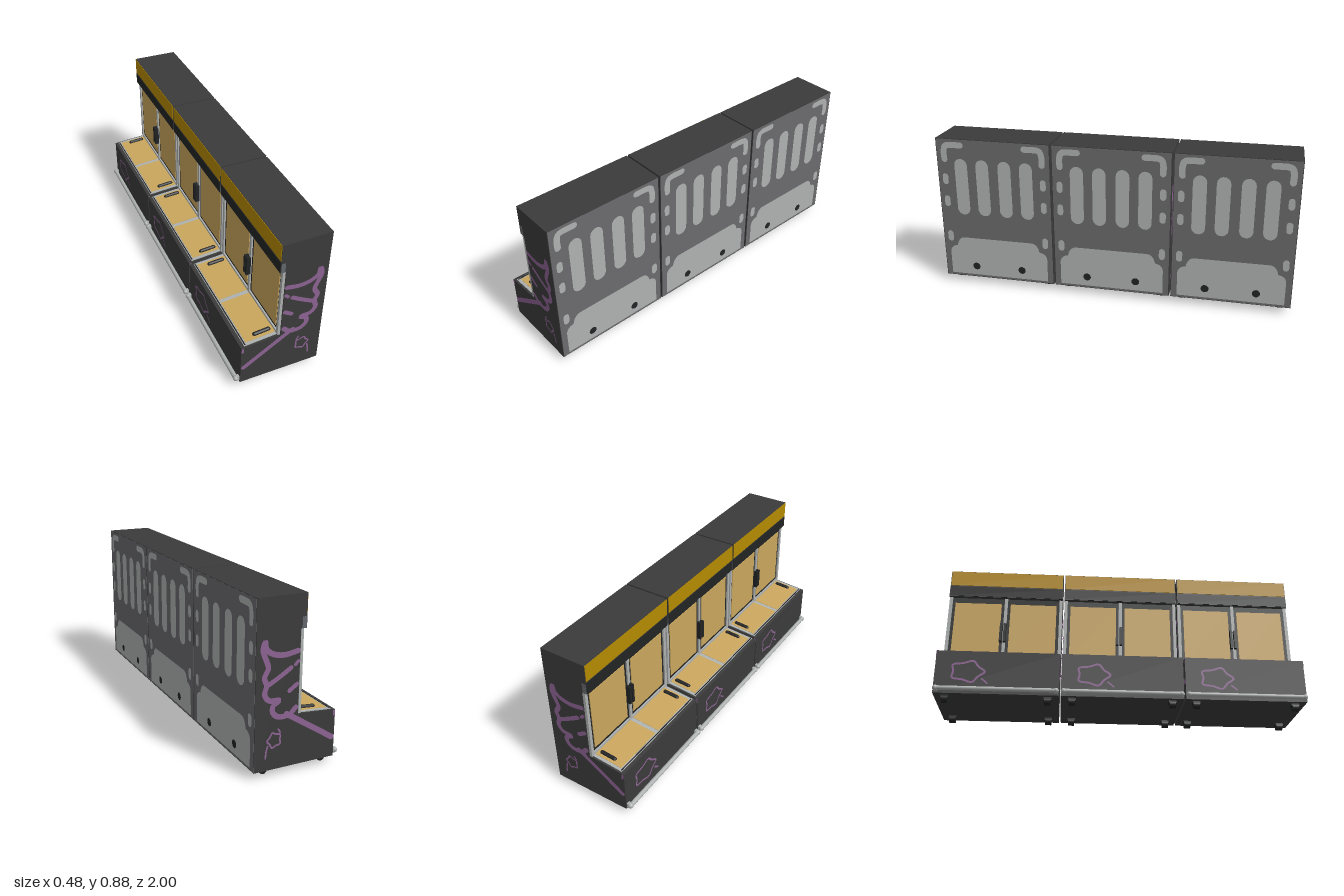
import * as THREE from 'three';
import { mergeGeometries } from 'three/addons/utils/BufferGeometryUtils.js';

const mat = (name, color, side = THREE.FrontSide) => {
  const m = new THREE.MeshStandardMaterial({ color, side });
  m.name = name;
  return m;
};
const W = 0.66, H = W / 2; // length of one cabinet along z

export function createModel() {
  const dark = mat('charcoal', 0x3b3b3b);
  const black = mat('black', 0x222324);
  const grey = mat('back grey', 0x6b6b6d);
  const light = mat('light metal', 0xaeb2b1);
  const tan = mat('amber glass', 0xcba75e);
  const sign = mat('sign yellow', 0xb58a00);
  const purple = mat('purple paint', 0x8d6393, THREE.DoubleSide);
  const steel = mat('blue grey', 0x63676b);

  const add = (parent, name, geo, material, x = 0, y = 0, z = 0) => {
    const m = new THREE.Mesh(geo, material);
    m.name = name;
    m.position.set(x, y, z);
    parent.add(m);
    return m;
  };
  const box = (p, name, material, sx, sy, sz, x, y, z) =>
    add(p, name, new THREE.BoxGeometry(sx, sy, sz), material, x, y, z);
  const group = (p, name) => {
    const g = new THREE.Group();
    g.name = name;
    p.add(g);
    return g;
  };

  // Flat painted stroke along a smooth line, with round ends
  const stroke = (pts, width, closed = false, tension = 0.5) => {
    const curve = new THREE.CatmullRomCurve3(pts.map(([x, y]) => new THREE.Vector3(x, y, 0)), closed, 'catmullrom', tension);
    const n = pts.length * 6, pos = [], norm = [], uv = [], idx = [];
    for (let i = 0; i <= n; i++) {
      const c = curve.getPoint(i / n), t = curve.getTangent(i / n);
      for (const s of [1, -1]) {
        pos.push(c.x - t.y * s * width / 2, c.y + t.x * s * width / 2, 0);
        norm.push(0, 0, 1);
        uv.push(0, 0);
      }
      if (i < n) idx.push(2 * i, 2 * i + 1, 2 * i + 2, 2 * i + 1, 2 * i + 3, 2 * i + 2);
    }
    const g = new THREE.BufferGeometry();
    g.setAttribute('position', new THREE.Float32BufferAttribute(pos, 3));
    g.setAttribute('normal', new THREE.Float32BufferAttribute(norm, 3));
    g.setAttribute('uv', new THREE.Float32BufferAttribute(uv, 2));
    g.setIndex(idx);
    const caps = closed ? [] : [pts[0], pts[pts.length - 1]].map(([x, y]) =>
      new THREE.CircleGeometry(width / 2, 14).translate(x, y, 0));
    return mergeGeometries([g, ...caps]);
  };
  const blob = (cx, cy, rx, ry) => [...Array(10)].map((_, i) => {
    const a = i / 10 * Math.PI * 2, k = i % 2 ? 0.85 : 1.1;
    return [cx + Math.cos(a) * rx * k, cy + Math.sin(a) * ry * k];
  });

  // Shared geometries
  const profile = new THREE.Shape([
    [-0.205, 0.04], [0.235, 0.04], [0.235, 0.88], [-0.025, 0.88],
    [-0.025, 0.715], [0.005, 0.715], [0.005, 0.3], [-0.205, 0.283],
  ].map(p => new THREE.Vector2(...p)));
  const bodyGeo = new THREE.ExtrudeGeometry(profile, { depth: W, bevelEnabled: false }).translate(0, 0, -H);

  const sideArt = mergeGeometries([
    stroke([[0.018, 0.612], [0.085, 0.602], [0.143, 0.612], [0.182, 0.64], [0.19, 0.676], [0.2, 0.635],
      [0.178, 0.577], [0.171, 0.546], [0.19, 0.507], [0.178, 0.468], [0.187, 0.425], [0.162, 0.392],
      [0.11, 0.385], [0.142, 0.362], [0.141, 0.328], [0.11, 0.303], [0.055, 0.305], [0.02, 0.335]], 0.027),
    stroke([[0.052, 0.535], [0.11, 0.5], [0.175, 0.465]], 0.024),
    stroke([[0.018, 0.45], [0.056, 0.424]], 0.023),
    stroke([[0.014, 0.562], [0.028, 0.548]], 0.018),
    stroke([[-0.189, 0.144], [0.07, 0.312]], 0.028),
    stroke(blob(0.13, 0.19, 0.035, 0.036), 0.009, true),
    stroke([[0.165, 0.165], [0.172, 0.14], [0.176, 0.105]], 0.009),
    stroke([[0.1, 0.225], [0.11, 0.242]], 0.009),
    new THREE.PlaneGeometry(0.012, 0.03).translate(-0.198, 0.267, 0),
  ]);
  const frontArt = mergeGeometries([
    stroke(blob(-0.16, 0.165, 0.085, 0.058), 0.011, true),
    stroke([[-0.08, 0.125], [-0.05, 0.1]], 0.009),
  ]);

  // Light panels on the rear: slots, corner marks, pills and lower cover
  const cover = new THREE.Shape();
  cover.moveTo(-0.295, 0.055).lineTo(0.295, 0.055).lineTo(0.295, 0.195)
    .quadraticCurveTo(0.29, 0.23, 0.25, 0.235).quadraticCurveTo(0.24, 0.285, 0.205, 0.288)
    .lineTo(-0.205, 0.288).quadraticCurveTo(-0.24, 0.285, -0.25, 0.235)
    .quadraticCurveTo(-0.29, 0.23, -0.295, 0.195);
  const rearParts = [new THREE.ShapeGeometry(cover, 6)];
  for (const u of [-0.19, -0.065, 0.065, 0.19]) rearParts.push(stroke([[u, 0.47], [u, 0.73]], 0.075));
  for (const s of [-1, 1]) {
    const corner = [[0.284, 0.76], [0.284, 0.81], [0.265, 0.842], [0.185, 0.845]].map(([u, y]) => [u * s, y]);
    rearParts.push(stroke(corner, 0.035));
    for (const y of [0.293, 0.51, 0.643])
      rearParts.push(stroke([[0.287 * s, y - 0.016], [0.287 * s, y + 0.016]], 0.034));
  }
  const rearGeo = mergeGeometries(rearParts);

  const model = new THREE.Group();
  model.name = 'refrigeratedCabinetRow';

  for (const [i, cz] of [-0.67, 0, 0.67].entries()) {
    const unit = group(model, `cabinet${i + 1}`);
    unit.position.z = cz;
    add(unit, 'body', bodyGeo, dark);

    // Side paint and grey canopy end caps
    for (const s of [-1, 1]) {
      add(unit, 'sidePaint', sideArt, purple, 0, 0, s * (H + 0.0015));
      box(unit, 'canopyEndCap', steel, 0.022, 0.055, 0.003, -0.012, 0.742, s * H);
    }

    // Rear panel
    const rear = group(unit, 'rearPanel');
    rear.position.x = 0.235;
    rear.rotation.y = Math.PI / 2;
    box(rear, 'rearSheet', grey, W - 0.006, 0.834, 0.002, 0, 0.46, 0);
    add(rear, 'rearInserts', rearGeo, light, 0, 0, 0.0025);
    for (const u of [-0.14, 0.14])
      add(rear, 'rearPort', new THREE.CircleGeometry(0.022, 16), black, u, 0.11, 0.004);

    // Sign and dark canopy strip
    box(unit, 'signPanel', sign, 0.004, 0.092, W - 0.006, -0.0255, 0.832, 0);
    box(unit, 'canopyStrip', black, 0.004, 0.062, W - 0.006, -0.0255, 0.748, 0);

    // Upper glass doors with light frame
    const doors = group(unit, 'upperDoors');
    box(doors, 'doorBacking', black, 0.008, 0.415, W - 0.01, 0.002, 0.508, 0);
    for (const z of [-H + 0.01, 0, H - 0.01])
      box(doors, 'doorPost', light, 0.014, 0.415, 0.018, -0.004, 0.508, z);
    box(doors, 'lowerRail', light, 0.014, 0.016, W - 0.004, -0.004, 0.309, 0);
    for (const s of [-1, 1]) {
      box(doors, 'doorGlass', tan, 0.004, 0.345, 0.268, -0.004, 0.508, s * 0.16);
      box(doors, 'doorHandle', black, 0.024, 0.112, 0.014, -0.02, 0.488, -0.008 + s * 0.011);
    }

    // Sloping chest lids
    const lids = group(unit, 'chestLids');
    lids.position.set(-0.1, 0.2925, 0);
    lids.rotation.z = 0.08;
    box(lids, 'lidFrame', light, 0.184, 0.006, W - 0.02, 0.006, 0, 0);
    box(lids, 'lidTrack', black, 0.006, 0.008, W - 0.03, -0.08, 0.0005, 0);
    for (const s of [-1, 1]) {
      box(lids, 'lidGlass', tan, 0.166, 0.006, 0.292, 0.012, 0.0015, s * 0.158);
      const grip = add(lids, 'lidHandle', new THREE.CapsuleGeometry(0.011, 0.076, 4, 10), black, 0.028, 0.006, s * 0.277);
      grip.rotation.z = Math.PI / 2;
    }

    // Front paint
    const front = group(unit, 'frontPanel');
    front.position.x = -0.2065;
    front.rotation.y = -Math.PI / 2;
    add(front, 'frontPaint', frontArt, purple);

    // Bumper rail with rounded ends and mounts
    const rail = add(unit, 'bumperRail', new THREE.CylinderGeometry(0.012, 0.012, W - 0.02, 14), light, -0.222, 0.062, 0);
    rail.rotation.x = Math.PI / 2;
    for (const s of [-1, 1]) {
      add(unit, 'bumperEnd', new THREE.SphereGeometry(0.015, 14, 10), light, -0.222, 0.062, s * (H - 0.015));
      box(unit, 'bumperMount', light, 0.018, 0.026, 0.02, -0.212, 0.062, s * (H - 0.015));
    }

    // Casters
    for (const x of [-0.165, 0.16]) for (const s of [-1, 1]) {
      const wheel = add(unit, 'caster', new THREE.CylinderGeometry(0.021, 0.021, 0.034, 14), black, x, 0.021, s * 0.27);
      wheel.rotation.x = Math.PI / 2;
      box(unit, 'casterFork', black, 0.034, 0.018, 0.042, x, 0.034, s * 0.27);
    }
  }
  return model;
}
